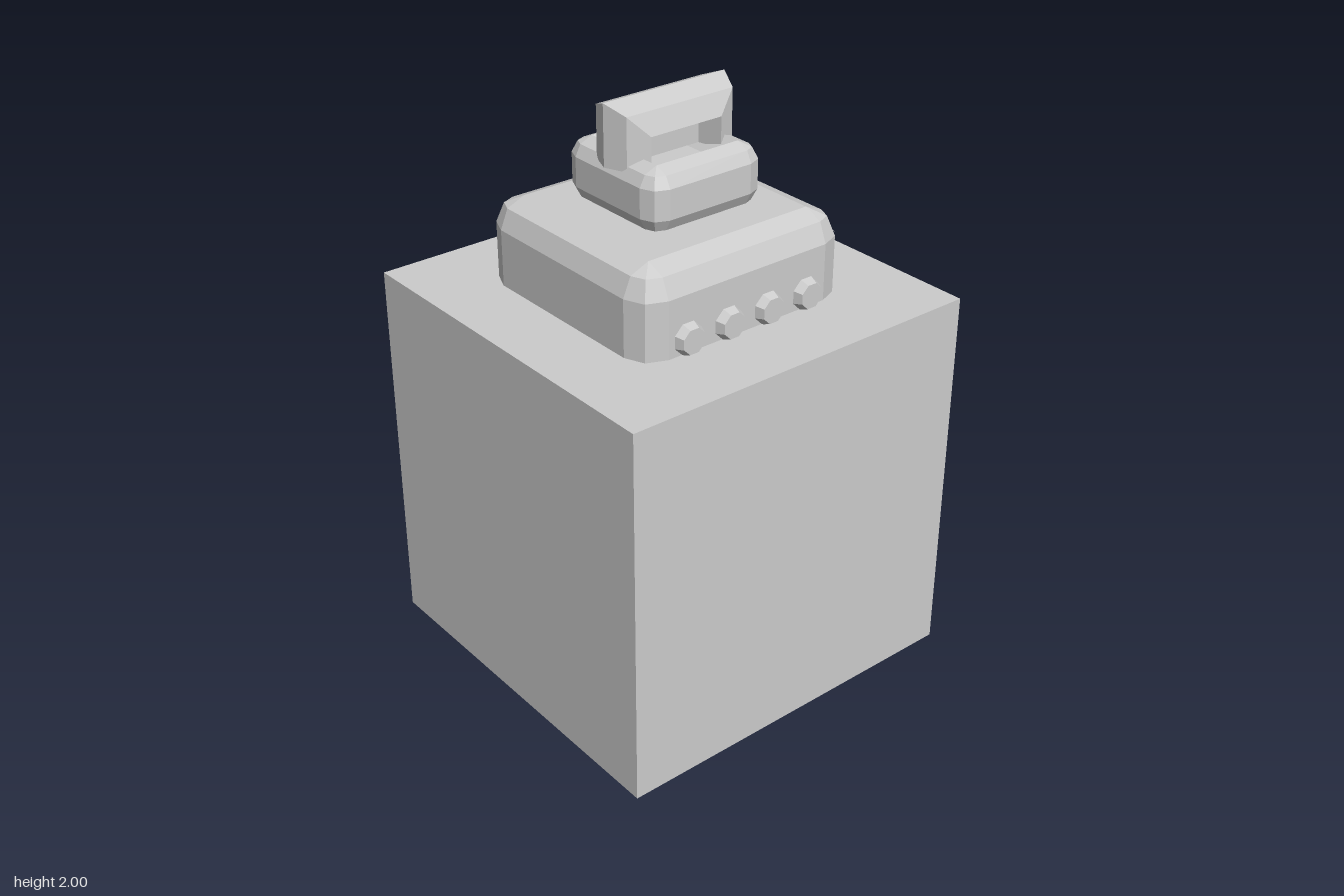
import * as THREE from 'three';

const grey = new THREE.MeshStandardMaterial({ color: 0xcccccc });
grey.name = 'plain grey';

// Flat-shaded mesh from a list of polygons (each a loop of [x, y, z])
function facets(name, polys) {
  const pos = [];
  for (const p of polys)
    for (let i = 1; i < p.length - 1; i++) pos.push(...p[0], ...p[i], ...p[i + 1]);
  const g = new THREE.BufferGeometry();
  g.setAttribute('position', new THREE.Float32BufferAttribute(pos, 3));
  g.computeVertexNormals();
  return named(name, g);
}

function named(name, geometry) {
  const m = new THREE.Mesh(geometry, grey);
  m.name = name;
  return m;
}

// Rounded square ring: half width h, corner radius r, two segments per corner
function ring(y, h, r, maxX) {
  const pts = [];
  for (let c = 0; c < 4; c++) {
    const mid = (c + 0.5) * Math.PI / 2;
    const cx = Math.sign(Math.cos(mid)) * (h - r), cz = -Math.sign(Math.sin(mid)) * (h - r);
    for (let s = 0; s <= 2; s++) {
      const a = (c + s / 2) * Math.PI / 2;
      pts.push([Math.min(maxX, cx + r * Math.cos(a)), y, cz - r * Math.sin(a)]);
    }
  }
  return pts;
}

// Block lofted through rings given as [y, half width, corner radius]
function block(name, levels, maxX = Infinity) {
  const rings = levels.map(([y, h, r]) => ring(y, h, r, maxX));
  const polys = [rings[0].slice().reverse(), rings[rings.length - 1]];
  for (let k = 0; k < rings.length - 1; k++) {
    const a = rings[k], b = rings[k + 1];
    a.forEach((p, i) => {
      const j = (i + 1) % a.length;
      polys.push([p, a[j], b[j], b[i]]);
    });
  }
  return facets(name, polys);
}

// Mitred arch with a ridged rim and a sunken centre panel
function arch() {
  const W = 0.238, top = 2, base = 1.795;
  const section = [[0, 0], [0.03, 0.075], [0.1, 0.105], [0.12, 0.02]]; // [inset, half depth]
  const path = ([d, z]) => [[-W + d, base, z], [-W + d, top - d, z], [W - d, top - d, z], [W - d, base, z]];
  const polys = [];
  const addBoth = (p) => polys.push(p, p.map(([x, y, z]) => [x, y, -z]).reverse());
  for (let s = 0; s < section.length - 1; s++) {
    const o = path(section[s]), n = path(section[s + 1]);
    for (let k = 0; k < 3; k++) addBoth([o[k], n[k], n[k + 1], o[k + 1]]);
    // Undersides of the two legs
    const flip = ([x, y, z]) => [x, y, -z];
    const foot = [o[0], flip(o[0]), flip(n[0]), n[0]];
    polys.push(foot, foot.map(([x, y, z]) => [-x, y, z]).reverse());
  }
  const c = path(section[section.length - 1]);
  addBoth([c[0], c[3], c[2], c[1]]);
  return facets('topArch', polys);
}

export function createModel() {
  const model = new THREE.Group();
  model.name = 'pedestalDevice';

  // Pedestal
  const pedestal = named('pedestal', new THREE.BoxGeometry(1.32, 1.33, 1.32));
  pedestal.position.y = 0.665;
  model.add(pedestal);

  // Rounded body, trimmed flat on its left side
  const body = block('body', [
    [1.3, 0.41, 0.095], [1.525, 0.41, 0.095], [1.592, 0.382, 0.067], [1.62, 0.315, 0],
  ], 0.398);
  body.position.z = -0.018;
  model.add(body);

  // Upper block with a sunken tray in its top
  const upper = block('upperBlock', [
    [1.618, 0.16, 0], [1.637, 0.205, 0.045], [1.675, 0.225, 0.065],
    [1.775, 0.225, 0.065], [1.813, 0.205, 0.045], [1.832, 0.16, 0], [1.775, 0.105, 0],
  ]);
  upper.position.z = -0.016;
  model.add(upper);

  const handle = arch();
  handle.position.z = -0.013;
  model.add(handle);

  // Row of front buttons
  for (let i = 0; i < 4; i++) {
    const g = new THREE.CylinderGeometry(0.044, 0.06, 0.04, 8).toNonIndexed();
    g.rotateY(Math.PI / 8).rotateX(Math.PI / 2);
    g.computeVertexNormals();
    const button = named('button', g);
    button.position.set(-0.24 + i * 0.159, 1.38, 0.402);
    model.add(button);
  }

  // Small corner ridges on the trimmed side
  for (const sz of [1, -1])
    for (const sy of [1, -1]) {
      const at = (x, y, z) => [x, 1.42 + sy * y, -0.018 + sz * z];
      const a = at(0.397, 0.11, 0.375), b = at(0.397, 0.105, 0.31);
      const c = at(0.397, 0.04, 0.255), d = at(0.397, 0.04, 0.32), peak = at(0.412, 0.1, 0.33);
      const polys = [[a, b, peak], [b, c, peak], [c, d, peak], [d, a, peak]];
      if (sy * sz < 0) polys.forEach((p) => p.reverse());
      model.add(facets('cornerRidge', polys.map((p) => p.slice().reverse()).map((p) => {
        // Keep every facet facing outward
        const [u, v, w] = p.map((q) => new THREE.Vector3(...q));
        return v.sub(u).cross(w.sub(u)).x < 0 ? p.reverse() : p;
      })));
    }
  return model;
}
